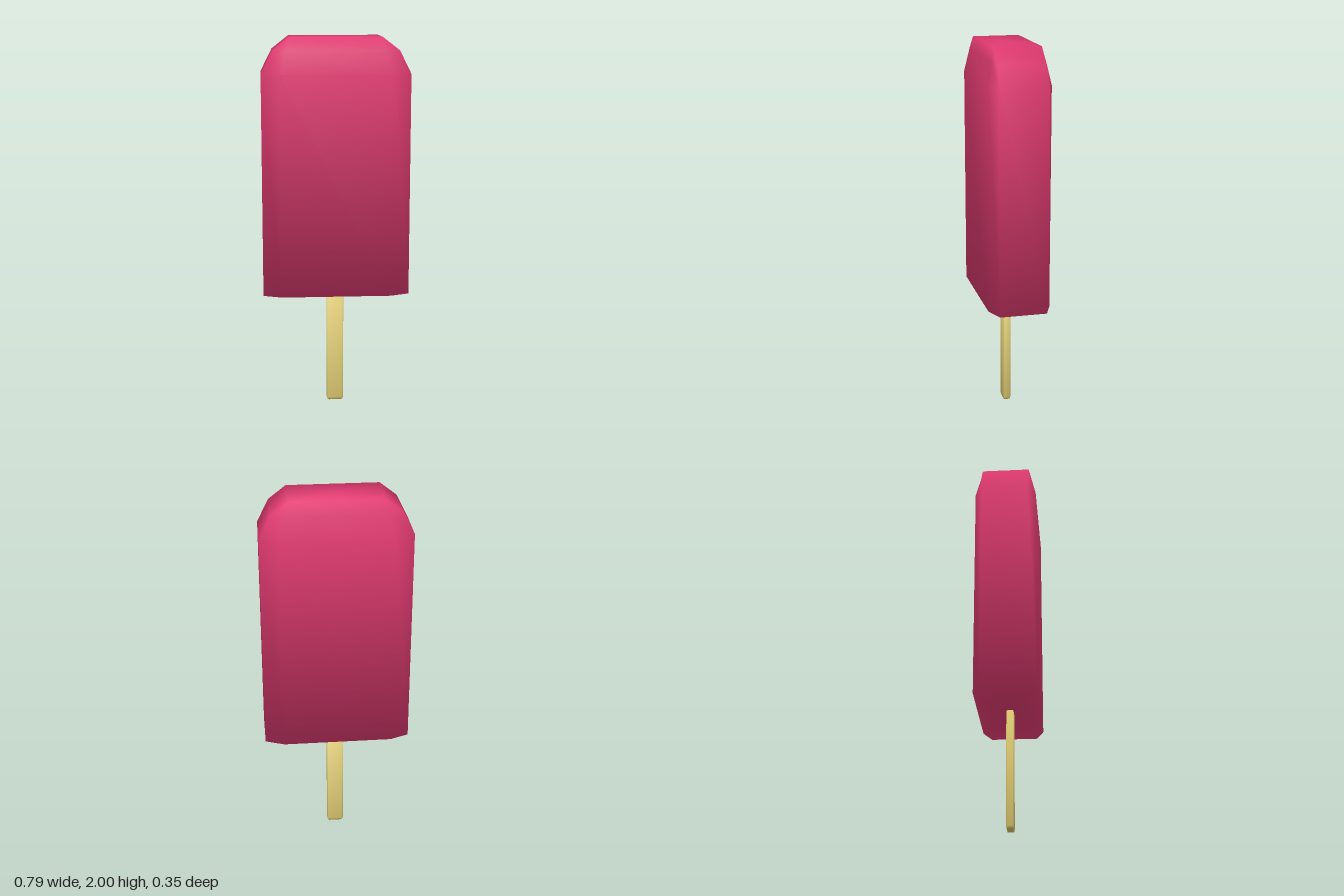
import * as THREE from 'three';
import { mergeVertices } from 'three/addons/utils/BufferGeometryUtils.js';

// Rectangle with chamfered corners: outer pair (xo, zo), inner pair (xi, zi)
function ring(y, xo, zo, xi, zi) {
  const quarter = [[xo, zo], [xi, zi]];
  return [
    ...quarter,
    ...quarter.map(([x, z]) => [-x, z]).reverse(),
    ...quarter.map(([x, z]) => [-x, -z]),
    ...quarter.map(([x, z]) => [x, -z]).reverse(),
  ].map(([x, z]) => new THREE.Vector3(x, y, z));
}

// Smooth normals, each face weighted by its corner angle
function smoothNormals(geo) {
  const pos = geo.attributes.position;
  const idx = geo.index.array;
  const sums = Array.from({ length: pos.count }, () => new THREE.Vector3());
  const at = (i) => new THREE.Vector3().fromBufferAttribute(pos, i);
  for (let t = 0; t < idx.length; t += 3) {
    for (let k = 0; k < 3; k++) {
      const i = idx[t + k];
      const p = at(i);
      const u = at(idx[t + (k + 1) % 3]).sub(p);
      const v = at(idx[t + (k + 2) % 3]).sub(p);
      const n = u.clone().cross(v).normalize();
      sums[i].addScaledVector(n, u.angleTo(v));
    }
  }
  const normals = sums.flatMap((n) => n.normalize().toArray());
  geo.setAttribute('normal', new THREE.Float32BufferAttribute(normals, 3));
  return geo;
}

// Skin a stack of rings from bottom to top and cap both ends
function loft(rings) {
  const points = [];
  const tri = (a, b, c) => {
    const area = b.clone().sub(a).cross(c.clone().sub(a)).length();
    if (area > 1e-7) points.push(a, b, c);
  };
  const n = rings[0].length;
  const bottom = rings[0];
  const top = rings[rings.length - 1];
  const lowCentre = new THREE.Vector3(0, bottom[0].y, 0);
  const topCentre = new THREE.Vector3(0, top[0].y, 0);
  for (let j = 0; j < n; j++) {
    const k = (j + 1) % n;
    for (let i = 0; i < rings.length - 1; i++) {
      tri(rings[i][j], rings[i + 1][j], rings[i + 1][k]);
      tri(rings[i][j], rings[i + 1][k], rings[i][k]);
    }
    tri(lowCentre, bottom[j], bottom[k]);
    tri(topCentre, top[k], top[j]);
  }
  const geo = new THREE.BufferGeometry().setFromPoints(points);
  return smoothNormals(mergeVertices(geo, 1e-4));
}

export function createModel() {
  const model = new THREE.Group();
  model.name = 'icePop';
  const iceMaterial = new THREE.MeshStandardMaterial({ color: 0xe23b72 });
  iceMaterial.name = 'raspberry ice';
  const woodMaterial = new THREE.MeshStandardMaterial({ color: 0xdcc870 });
  woodMaterial.name = 'pale wood';

  // Frozen bar: chamfered block with stepped shoulders and a flat top
  const ice = new THREE.Mesh(loft([
    ring(0.633, 0.39, 0.125, 0.29, 0.165),
    ring(1.81, 0.39, 0.125, 0.29, 0.165),
    ring(1.93, 0.33, 0.125, 0.258, 0.14),
    ring(2.0, 0.24, 0.125, 0.24, 0.125),
  ]), iceMaterial);
  ice.name = 'iceBar';

  // Flat stick with a slightly eased lower end
  const stick = new THREE.Mesh(loft([
    ring(0, 0.038, 0.014, 0.034, 0.017),
    ring(0.014, 0.045, 0.016, 0.04, 0.019),
    ring(0.7, 0.046, 0.016, 0.041, 0.019),
  ]), woodMaterial);
  stick.name = 'stick';
  stick.position.z = 0.005;

  model.add(ice, stick);
  // The whole treat is turned very slightly
  ice.rotation.y = stick.rotation.y = 0.036;
  return model;
}
